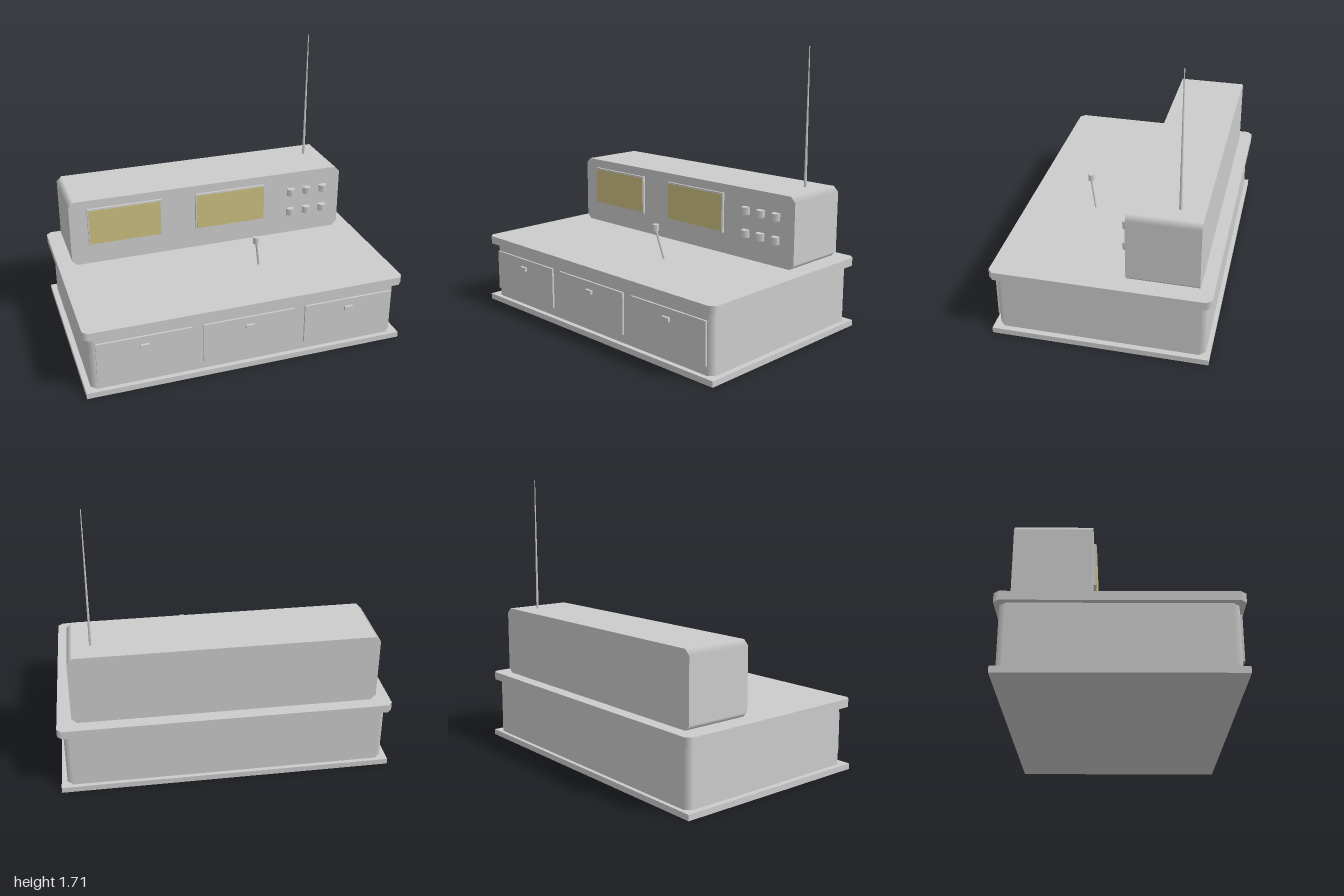
import * as THREE from 'three';

const grey = new THREE.MeshStandardMaterial({ color: 0xcccccc });
grey.name = 'pale grey';
const yellow = new THREE.MeshStandardMaterial({ color: 0xcbbf80 });
yellow.name = 'screen yellow';

// Bar with clipped corners, extruded along z; the clips shade as rounded edges
function clippedBar(w, h, depth, c) {
  const x = w / 2, y = h / 2;
  const outline = [
    [x, y - c], [x - c, y], [c - x, y], [-x, y - c],
    [-x, c - y], [c - x, -y], [x - c, -y], [x, c - y],
  ].map(([a, b]) => new THREE.Vector2(a, b));
  const geo = new THREE.ExtrudeGeometry(new THREE.Shape(outline), { depth, bevelEnabled: false });
  geo.translate(0, 0, -depth / 2);
  const p = geo.attributes.position, n = geo.attributes.normal;
  for (let i = 0; i < p.count; i++) {
    if (Math.abs(n.getX(i)) < 0.1 || Math.abs(n.getY(i)) < 0.1) continue;
    if (Math.abs(p.getX(i)) > x - 1e-4) n.setXYZ(i, Math.sign(p.getX(i)), 0, 0);
    else n.setXYZ(i, 0, Math.sign(p.getY(i)), 0);
  }
  return geo;
}

export function createModel() {
  const model = new THREE.Group();
  model.name = 'radioDesk';

  const add = (name, geo, x, y, z, mat = grey) => {
    const mesh = new THREE.Mesh(geo, mat);
    mesh.name = name;
    mesh.position.set(x, y, z);
    model.add(mesh);
    return mesh;
  };
  const box = (w, h, d) => new THREE.BoxGeometry(w, h, d);
  const slab = (w, h, d, c) => clippedBar(w, d, h, c).rotateX(-Math.PI / 2);

  // Desk
  add('basePlate', box(2, 0.035, 1.285), 0, 0.0175, 0);
  add('deskBody', slab(1.93, 0.355, 1.23, 0.035), 0, 0.2125, -0.003);
  add('deskTop', slab(2, 0.05, 1.29, 0.03), 0, 0.415, 0);

  // Drawers with small pulls
  for (const x of [-0.643, 0, 0.643]) {
    add('drawer', box(0.574, 0.254, 0.02), x, 0.215, 0.614);
    add('drawerPull', box(0.054, 0.024, 0.02), x, 0.282, 0.63);
  }

  // Equipment console
  add('console', clippedBar(1.824, 0.435, 0.424, 0.032), 0, 0.6575, -0.354);
  for (const x of [-0.562, 0.139]) {
    add('screenFrame', box(0.476, 0.25, 0.02), x, 0.695, -0.137);
    add('screen', box(0.46, 0.23, 0.004), x, 0.695, -0.1265, yellow);
  }
  for (const x of [0.56, 0.674, 0.788])
    for (const y of [0.602, 0.743])
      add('knob', new THREE.CylinderGeometry(0.0285, 0.0285, 0.045, 6).rotateY(Math.PI / 6), x, y, -0.127);

  // Antenna
  add('antenna', new THREE.CylinderGeometry(0.003, 0.009, 0.84, 6), 0.773, 1.29, -0.423);

  // Microphone on a leaning stalk
  const foot = new THREE.Vector3(0.21, 0.435, 0.21);
  const tip = new THREE.Vector3(0.176, 0.625, 0.247);
  const lean = tip.clone().sub(foot);
  const mid = foot.clone().add(tip).multiplyScalar(0.5);
  const stalk = add('microphoneStalk', new THREE.CylinderGeometry(0.007, 0.007, lean.length(), 6), mid.x, mid.y, mid.z);
  stalk.quaternion.setFromUnitVectors(new THREE.Vector3(0, 1, 0), lean.normalize());
  add('microphoneHead', new THREE.CylinderGeometry(0.02, 0.02, 0.041, 8), 0.175, 0.636, 0.247);

  return model;
}
